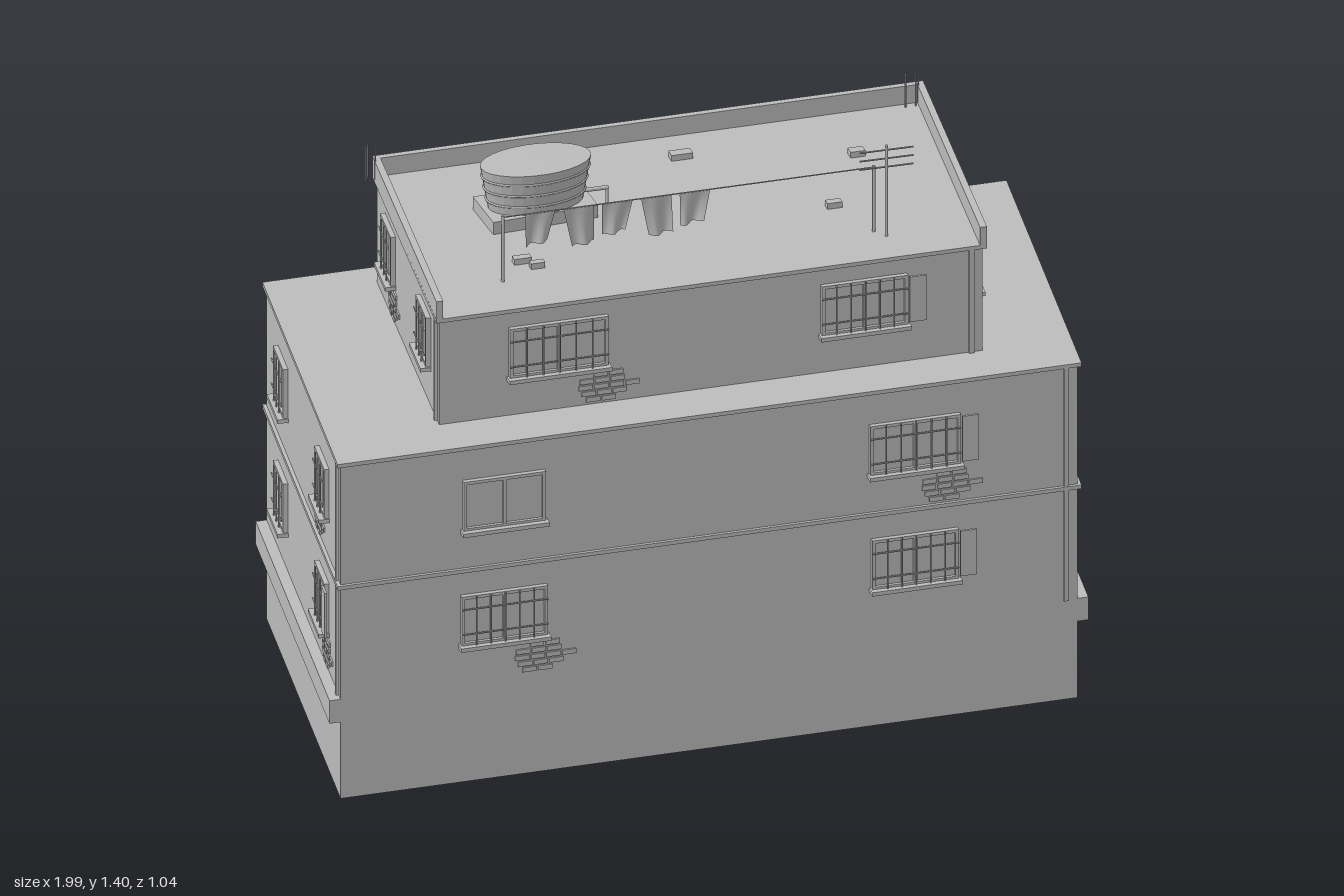
import * as THREE from 'three';

const plaster = new THREE.MeshStandardMaterial({ color: 0xbcbcbc, side: THREE.DoubleSide });
plaster.name = 'grey plaster';

function add(parent, geometry, name, x = 0, y = 0, z = 0) {
  const mesh = new THREE.Mesh(geometry, plaster);
  mesh.name = name;
  mesh.position.set(x, y, z);
  parent.add(mesh);
  return mesh;
}
const box = (parent, name, w, h, d, x, y, z) => add(parent, new THREE.BoxGeometry(w, h, d), name, x, y, z);

// Thin round bar between two points
function bar(parent, name, a, b, r = 0.003) {
  const from = new THREE.Vector3(...a), to = new THREE.Vector3(...b);
  const mesh = add(parent, new THREE.CylinderGeometry(r, r, from.distanceTo(to), 6), name);
  mesh.position.copy(from).lerp(to, 0.5);
  mesh.quaternion.setFromUnitVectors(new THREE.Vector3(0, 1, 0), to.sub(from).normalize());
  return mesh;
}

// Skewed floor plans: centre plus two half-axes; at(a, b) gives [x, z]
function plan(cx, cz, ux, uz, vx, vz) {
  const lu = Math.hypot(ux, uz), lv = Math.hypot(vx, vz);
  const at = (a, b) => [cx + a * ux + b * vx, cz + a * uz + b * vz];
  const quad = (gu, gv) => {
    const a = 1 + gu / lu, b = 1 + gv / lv;
    return [at(-a, b), at(a, b), at(a, -b), at(-a, -b)];
  };
  return { at, quad };
}
const lower = plan(0, 0, 0.895, 0.05, -0.075, 0.46);
const upper = plan(0.028, -0.025, 0.66, 0.037, -0.056, 0.368);

function prism(parent, name, points, y0, y1) {
  const shape = new THREE.Shape(points.map(([x, z]) => new THREE.Vector2(x, -z)));
  const geo = new THREE.ExtrudeGeometry(shape, { depth: y1 - y0, bevelEnabled: false });
  return add(parent, geo.rotateX(-Math.PI / 2), name, 0, y0, 0);
}

// Window centred at s along the wall; kind: p plain, g grille, s grille with open shutter
function addWindow(wall, s, y, w, kind) {
  const g = new THREE.Group();
  g.name = 'window';
  g.position.set(s, y, 0);
  wall.add(g);
  const h = 0.13, t = 0.008;
  box(g, 'pane', w - t, h - t, 0.006, 0, 0, 0.001);
  for (const k of [-1, 1]) {
    box(g, 'frameSide', t, h, 0.014, k * (w - t) / 2, 0, 0.005);
    box(g, 'frameRail', w, t, 0.014, 0, k * (h - t) / 2, 0.005);
  }
  box(g, 'mullion', t, h, 0.012, 0, 0, 0.005);
  box(g, 'sill', w + 0.01, 0.01, 0.028, 0, -h / 2 - 0.003, 0.012);
  if (kind === 'p') return;
  const bars = w > 0.2 ? 6 : 4;
  for (let i = 1; i < bars; i++) bar(g, 'grilleBar', [w * (i / bars - 0.5), -h / 2, 0.016], [w * (i / bars - 0.5), h / 2, 0.016], 0.002);
  for (const k of [-0.25, 0.25]) bar(g, 'grilleRail', [-w / 2, k * h, 0.016], [w / 2, k * h, 0.016], 0.002);
  if (kind === 's') box(g, 'shutter', 0.04, h - 0.012, 0.006, w / 2 + 0.022, 0.004, 0.016);
}

// Patch of exposed bricks in a staggered stack
function addBricks(wall, s, y, wide) {
  const counts = [2, 3, 4, 3, 2];
  const shifts = [0.01, -0.005, 0.012, 0, -0.008];
  counts.forEach((n, r) => {
    for (let i = 0; i < n; i++) {
      const pitch = wide ? 0.038 : 0.031;
      box(wall, 'brick', pitch - 0.004, 0.012, 0.006, s + (i - (n - 1) / 2) * pitch + shifts[r], y + (2 - r) * 0.016, 0.001);
    }
  });
}

// Storeys: walls in order front, right, back, left; each wall lists window kinds, widths and brick offsets
const storeys = [
  { plan: lower, y0: 0.26, y1: 0.55, spread: [0.5, 0.26], walls: [
    { kinds: 'gs', w: [0.21, 0.21], brick: -0.41 },
    { kinds: 'ps', w: [0.115, 0.13], brick: 0.32 },
    { kinds: 'ps', w: [0.21, 0.21], brick: 0.56 },
    { kinds: 'gs', w: [0.125, 0.125], brick: 0.3 }] },
  { plan: lower, y0: 0.56, y1: 0.87, spread: [0.5, 0.26], walls: [
    { kinds: 'ps', w: [0.2, 0.22], brick: 0.58 },
    { kinds: 'gg', w: [0.115, 0.13], brick: -0.22 },
    { kinds: 'pg', w: [0.21, 0.21] },
    { kinds: 'gg', w: [0.125, 0.125], brick: 0.2 }] },
  { plan: upper, y0: 0.88, y1: 1.15, spread: [0.372, 0.21], walls: [
    { kinds: 'gs', w: [0.24, 0.21], brick: -0.26 },
    { kinds: 'pg', w: [0.125, 0.125], brick: 0.27 },
    { kinds: 'sg', w: [0.21, 0.24], brick: 0.32 },
    { kinds: 'gg', w: [0.125, 0.125], brick: -0.17 }] },
];

function buildStorey(root, storey, index) {
  const g = new THREE.Group();
  g.name = 'storey' + (index + 1);
  root.add(g);
  const c = storey.plan.quad(0, 0);
  prism(g, 'walls', c, storey.y0, storey.y1);
  prism(g, 'slab', storey.plan.quad(0.009, 0.008), storey.y1, storey.y1 + 0.01);
  storey.walls.forEach((spec, i) => {
    const [p, q] = [c[i], c[(i + 1) % 4]];
    const dx = q[0] - p[0], dz = q[1] - p[1], len = Math.hypot(dx, dz);
    const wall = new THREE.Group();
    wall.name = ['frontWall', 'rightWall', 'backWall', 'leftWall'][i];
    wall.position.set((p[0] + q[0]) / 2, 0, (p[1] + q[1]) / 2);
    wall.rotation.y = Math.atan2(-dz, dx);
    g.add(wall);
    const y = storey.y0 + 0.165;
    [-1, 1].forEach((k, n) => addWindow(wall, k * storey.spread[i % 2], y, spec.w[n], spec.kinds[n]));
    if (spec.brick !== undefined) addBricks(wall, spec.brick, storey.y0 + 0.045, i % 2 === 0);
    // Rain pipe strip beside the corner
    box(wall, 'cornerStrip', 0.012, storey.y1 - storey.y0, 0.01, len / 2 - 0.028, (storey.y0 + storey.y1) / 2, 0.002);
  });
}

function buildTank(root) {
  const tank = new THREE.Group();
  tank.name = 'waterTank';
  tank.position.set(-0.295, 0, -0.12);
  root.add(tank);
  box(tank, 'plinth', 0.26, 0.032, 0.14, 0, 1.176, 0);
  const profile = [[0, 1.192], [0.116, 1.192], [0.135, 1.3], [0, 1.303]].map(([x, y]) => new THREE.Vector2(x, y));
  const body = new THREE.LatheGeometry(profile, 28).toNonIndexed();
  body.computeVertexNormals();
  add(tank, body, 'tankBody').scale.z = 0.59;
  for (const y of [1.215, 1.245, 1.275]) {
    const hoop = add(tank, new THREE.TorusGeometry(0.117 + (y - 1.192) * 0.176, 0.003, 5, 28).rotateX(Math.PI / 2), 'hoop', 0, y, 0);
    hoop.scale.z = 0.59;
  }
  bar(tank, 'outletPipe', [0.11, 1.205, 0.01], [0.175, 1.205, 0.015], 0.005);
  bar(tank, 'drainPipe', [0.172, 1.205, 0.015], [0.172, 1.16, 0.015], 0.004);
}

function buildLaundry(root) {
  const g = new THREE.Group();
  g.name = 'laundry';
  root.add(g);
  const a = [-0.485, 1.328, 0.182], b = [0.415, 1.328, 0.235];
  bar(g, 'clothesline', a, b, 0.0015);
  for (const p of [a, b]) bar(g, 'linePost', [p[0], 1.16, p[2]], [p[0], 1.332, p[2]], 0.004);
  // Hanging cloth: tapered plane with soft folds
  for (let i = 0; i < 5; i++) {
    const h = 0.08 + 0.018 * (i % 2);
    const geo = new THREE.PlaneGeometry(0.074, h, 8, 6).translate(0, -h / 2, 0);
    const pos = geo.attributes.position;
    for (let k = 0; k < pos.count; k++) {
      const x = pos.getX(k), d = -pos.getY(k) / h;
      pos.setX(k, x * (1 - 0.25 * d) + (i % 2 ? 0.012 : -0.008) * d);
      pos.setY(k, pos.getY(k) + 0.1 * x * d);
      pos.setZ(k, 0.009 * d * Math.sin(x * 110 + i));
    }
    geo.computeVertexNormals();
    const x = -0.395 + i * 0.094;
    add(g, geo, 'cloth', x, 1.328, 0.182 + (x + 0.485) * 0.059).rotation.y = -0.06;
  }
}

function buildRoof(root) {
  // Parapet around three sides, open to the front
  const { at } = plan(0.028, -0.025, 0.669, 0.0375, -0.0568, 0.376);
  const i = 0.975, j = -0.957;
  prism(root, 'parapet', [at(-1, 1), at(-i, 1), at(-i, j), at(i, j), at(i, 1), at(1, 1), at(1, -1), at(-1, -1)], 1.16, 1.207);
  // Loose blocks
  for (const [x, z, w, d] of [[-0.13, -0.265, 0.024, 0.02], [0.12, -0.272, 0.052, 0.026], [0.51, -0.145, 0.036, 0.024],
    [0.37, 0.085, 0.036, 0.02], [-0.41, 0.105, 0.042, 0.02], [-0.385, 0.14, 0.034, 0.018]]) {
    box(root, 'roofBlock', w, 0.016, d, x, 1.167, z).rotation.y = -0.06;
  }
  // Reinforcing rods at the back corners
  for (const [x, z] of [[-0.61, -0.41], [-0.588, -0.408], [-0.6, -0.425], [0.7, -0.335], [0.725, -0.334], [0.735, -0.345]]) {
    bar(root, 'rod', [x, 1.16, z], [x, 1.247, z], 0.002);
  }
  // Aerial
  bar(root, 'aerialMast', [0.435, 1.16, 0.267], [0.435, 1.397, 0.267], 0.004);
  for (const y of [1.385, 1.363, 1.341]) bar(root, 'aerialBar', [0.37, y, 0.262], [0.5, y, 0.272], 0.002);
  buildTank(root);
  buildLaundry(root);
}

export function createModel() {
  const root = new THREE.Group();
  root.name = 'apartmentBlock';
  prism(root, 'base', lower.quad(0, 0), 0, 0.2);
  prism(root, 'sideBand', lower.quad(0.027, 0), 0.2, 0.26);
  storeys.forEach((s, i) => buildStorey(root, s, i));
  // Solid joint between the middle slab and the top storey
  buildRoof(root);
  return root;
}
